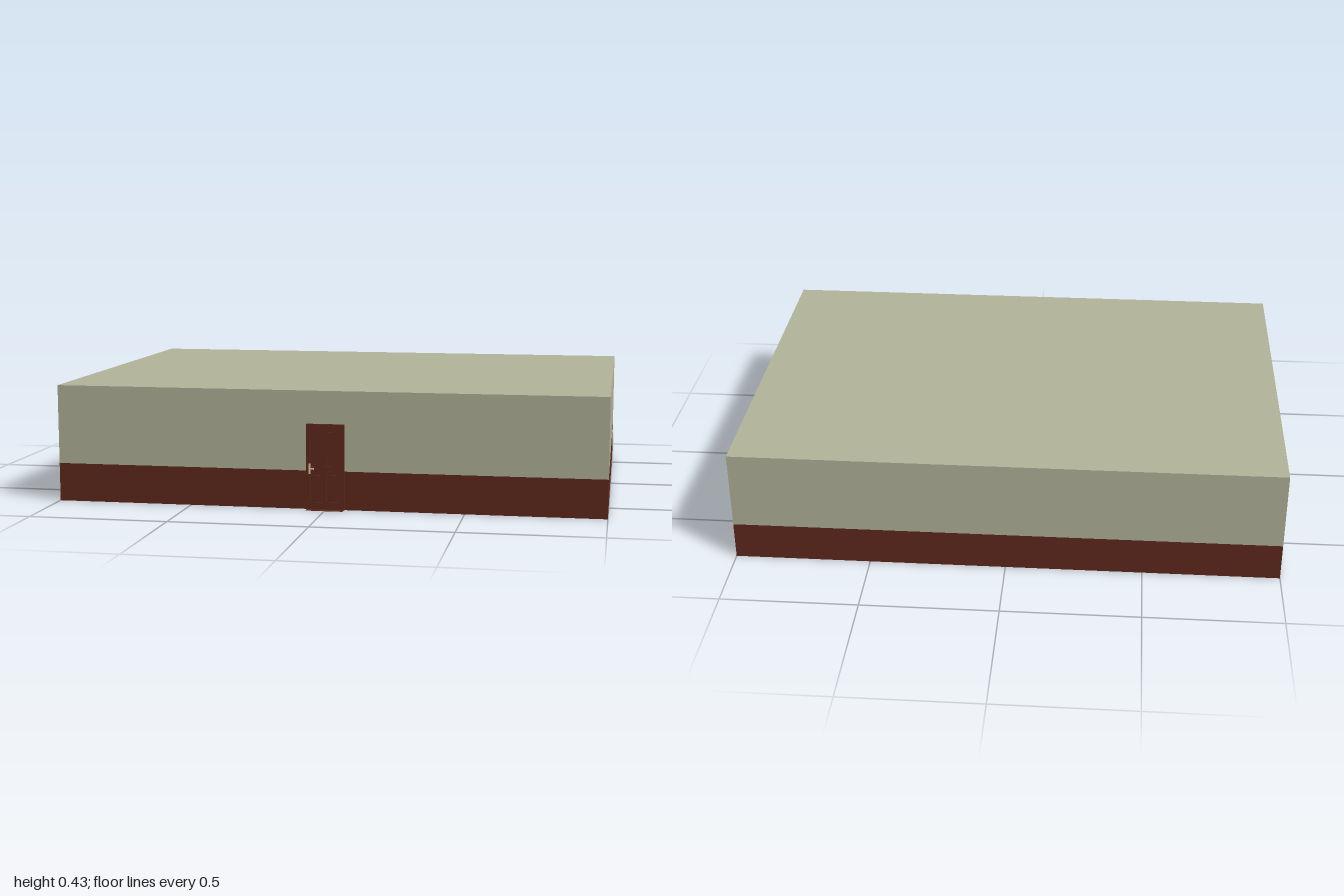
import * as THREE from 'three';

export function createModel() {
  const model = new THREE.Group();
  const material = (name, color) => {
    const m = new THREE.MeshStandardMaterial({ color });
    m.name = name;
    return m;
  };
  const khaki = material('khaki wall', 0xb3b59b);
  const brown = material('red brown', 0x60291d);
  const dark = material('dark underside', 0x24352b);
  const brass = material('pale brass', 0xe6d2a0);

  // Adds a box given by its lower and upper corners
  const box = (name, mat, [x0, y0, z0], [x1, y1, z1], parent = model) => {
    const mesh = new THREE.Mesh(new THREE.BoxGeometry(x1 - x0, y1 - y0, z1 - z0), mat);
    mesh.position.set((x0 + x1) / 2, (y0 + y1) / 2, (z0 + z1) / 2);
    mesh.name = name;
    parent.add(mesh);
    return mesh;
  };

  // Building: brown base band with dark underside, khaki walls and roof
  const back = -0.73, front = 0.699;
  box('baseBand', [brown, brown, brown, dark, brown, brown], [-1, 0, back], [1, 0.14, front]);
  box('upperWallsAndRoof', khaki, [-1, 0.14, back], [1, 0.429, front]);

  // Door slab with raised rails, stiles and panels
  const door = new THREE.Group();
  door.name = 'door';
  model.add(door);
  const z1 = front + 0.004, z2 = front + 0.009;
  box('doorSlab', brown, [-0.069, 0, front], [0.069, 0.31, z1], door);
  for (const s of [-1, 1]) {
    const stile = box('doorStile', brown, [-0.069, 0, z1], [-0.053, 0.31, z2], door);
    stile.position.x = s * 0.061;
    for (const [y0, y1] of [[0.035, 0.125], [0.165, 0.28]]) {
      const panel = box('doorPanel', brown, [0.012, y0, z1], [0.046, y1, z2 - 0.001], door);
      panel.position.x = s * 0.029;
    }
  }
  for (const [y0, y1] of [[0, 0.027], [0.133, 0.157], [0.288, 0.31]]) {
    box('doorRail', brown, [-0.053, y0, z1], [0.053, y1, z2], door);
  }
  box('doorMiddleStile', brown, [-0.005, 0.027, z1], [0.005, 0.288, z2], door);

  // Handle: narrow plate with a lever
  box('handlePlate', brass, [-0.06, 0.13, z2], [-0.053, 0.168, z2 + 0.002], door);
  box('handleLever', brass, [-0.06, 0.146, z2 + 0.002], [-0.04, 0.152, z2 + 0.005], door);

  // Flat doorstep at ground level
  box('doorstep', brown, [-0.068, 0, front], [0.066, 0.001, 0.73]);

  return model;
}
